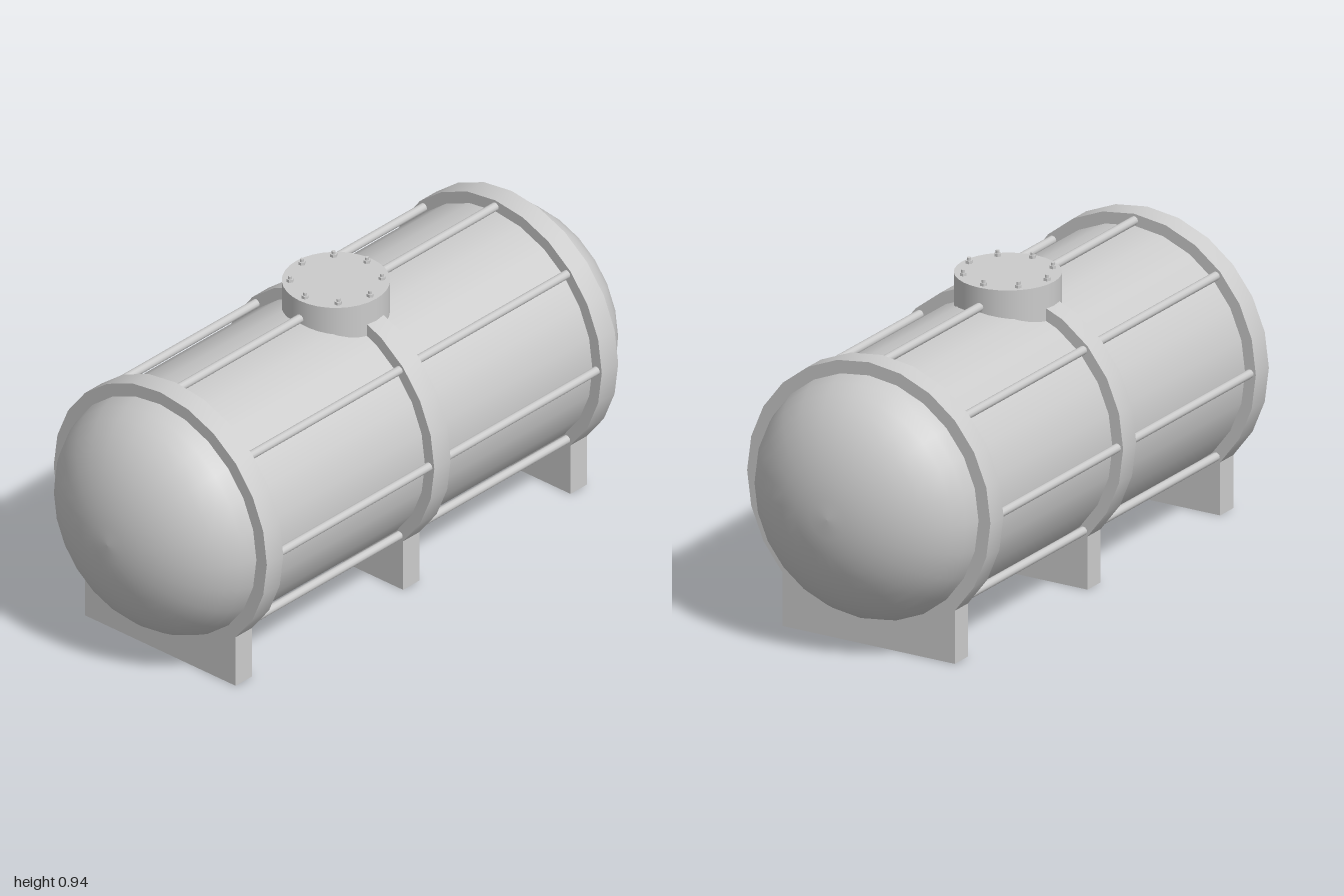
import * as THREE from 'three';
import { toCreasedNormals } from 'three/addons/utils/BufferGeometryUtils.js';

const AXIS_Y = 0.464, TANK_R = 0.384, BAND_R = 0.421, SIDES = 24;

export function createModel() {
  const model = new THREE.Group();
  model.name = 'storageTank';
  const material = new THREE.MeshStandardMaterial({ color: 0xcccccc });

  const add = (name, geometry, x = 0, y = 0, z = 0, parent = model) => {
    const mesh = new THREE.Mesh(geometry, material);
    mesh.name = name;
    mesh.position.set(x, y, z);
    parent.add(mesh);
    return mesh;
  };

  // Tank body with elliptical domed ends, turned about the x axis
  const profile = [];
  const steps = 10, straight = 0.73, dome = 0.27;
  for (const end of [-1, 1]) {
    for (let i = 0; i <= steps; i++) {
      const t = (end < 0 ? steps - i : i) / steps * Math.PI / 2;
      const r = i === (end < 0 ? 0 : steps) ? 0 : TANK_R * Math.cos(t);
      profile.push(new THREE.Vector2(r, end * (straight + dome * Math.sin(t))));
    }
  }
  add('tankBody', new THREE.LatheGeometry(profile, SIDES).rotateZ(-Math.PI / 2), 0, AXIS_Y, 0);

  // Bands running down into the saddle feet
  const outline = new THREE.Shape();
  const foot = BAND_R * Math.SQRT1_2;
  outline.moveTo(-foot, 0);
  outline.lineTo(foot, 0);
  for (let i = -3; i <= 15; i++) {
    const a = i * Math.PI * 2 / SIDES;
    outline.lineTo(BAND_R * Math.cos(a), AXIS_Y + BAND_R * Math.sin(a));
  }
  outline.closePath();
  const bandWidth = 0.072;
  const bandGeometry = toCreasedNormals(
    new THREE.ExtrudeGeometry(outline, { depth: bandWidth, bevelEnabled: false })
      .translate(0, 0, -bandWidth / 2).rotateY(Math.PI / 2), 0.5);
  for (const [name, x] of [['rightSaddleBand', -0.732], ['middleSaddleBand', 0], ['leftSaddleBand', 0.732]]) {
    add(name, bandGeometry, x);
  }

  // Eight pipes along the tank between the end bands
  const pipes = new THREE.Group();
  pipes.name = 'pipes';
  model.add(pipes);
  const pipeGeometry = new THREE.CylinderGeometry(0.0135, 0.0135, 1.44, 12).rotateZ(Math.PI / 2);
  for (let i = 0; i < 8; i++) {
    const a = i * Math.PI / 4;
    add('pipe', pipeGeometry, 0, AXIS_Y + 0.4 * Math.sin(a), 0.4 * Math.cos(a), pipes);
  }

  // Hatch with a ring of bolts
  const hatchTop = 0.925, hatchBase = 0.75;
  const hatch = new THREE.Group();
  hatch.name = 'hatch';
  model.add(hatch);
  add('hatchDrum', new THREE.CylinderGeometry(0.159, 0.159, hatchTop - hatchBase, 32),
    0, (hatchTop + hatchBase) / 2, 0, hatch);
  const nutGeometry = toCreasedNormals(new THREE.CylinderGeometry(0.011, 0.011, 0.009, 6), 0.5);
  const studGeometry = new THREE.CylinderGeometry(0.006, 0.006, 0.018, 8);
  for (let i = 0; i < 8; i++) {
    const a = i * Math.PI / 4, x = 0.135 * Math.sin(a), z = 0.135 * Math.cos(a);
    add('boltNut', nutGeometry, x, hatchTop + 0.0045, z, hatch);
    add('boltStud', studGeometry, x, hatchTop + 0.009, z, hatch);
  }

  return model;
}
